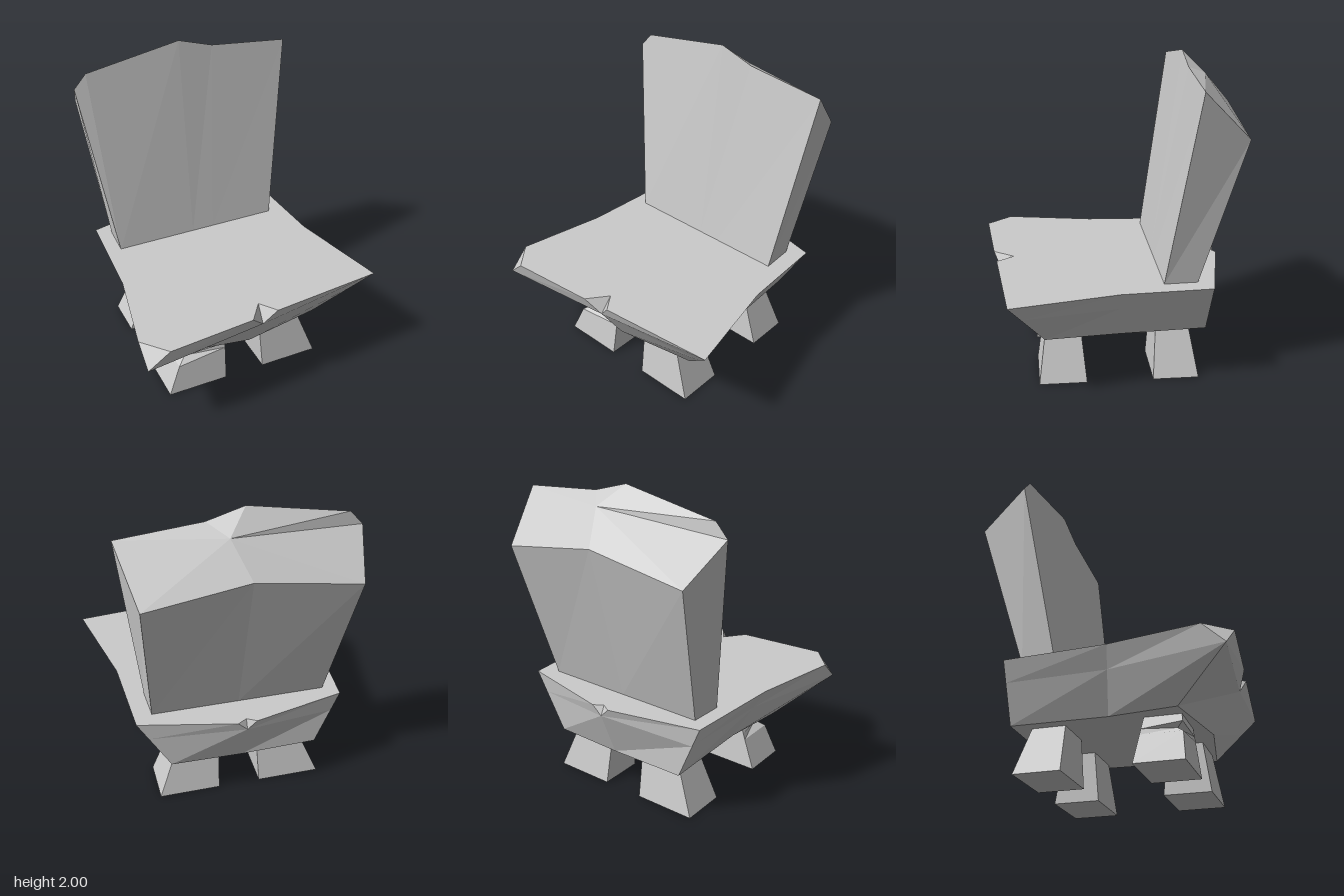
import * as THREE from 'three';

const material = new THREE.MeshStandardMaterial({ color: 0xcccccc, flatShading: true });

// Skins rings of [x, y, z] points (bottom to top, counterclockwise from above);
// each end is closed by a fan around its centre point.
function loft(name, rings, bottomCentre, topCentre) {
  const out = [];
  const tri = (...pts) => {
    const [a, b, c] = pts.map((p) => new THREE.Vector3(...p));
    if (new THREE.Triangle(a, b, c).getArea() > 1e-6) pts.forEach((p) => out.push(...p));
  };
  const n = rings[0].length;
  for (let i = 0; i < n; i++) {
    const j = (i + 1) % n;
    for (let k = 0; k + 1 < rings.length; k++) {
      const lo = rings[k], up = rings[k + 1];
      tri(lo[i], lo[j], up[j]);
      tri(lo[i], up[j], up[i]);
    }
    const top = rings[rings.length - 1];
    tri(topCentre, top[i], top[j]);
    tri(bottomCentre, rings[0][j], rings[0][i]);
  }
  const geometry = new THREE.BufferGeometry();
  geometry.setAttribute('position', new THREE.Float32BufferAttribute(out, 3));
  geometry.computeVertexNormals();
  const mesh = new THREE.Mesh(geometry, material);
  mesh.name = name;
  return mesh;
}

// Slab with sloping sides, a chipped corner and a nick in the front and back edges
function makeSeat() {
  const yTop = 0.67, yBottom = 0.31, t = 0.35;
  const corner = [-0.805, 0.545, 0.755];
  const frontNick = [-0.015, 0.57, 0.68];
  const backNick = [-0.02, 0.61, -0.73];
  // top x, z; bottom x, z; optional chip point between them
  const stations = [
    [-0.81, 0.62, -0.55, 0.42, corner],
    [-0.67, 0.78, -0.55, 0.42, corner],
    [-0.11, 0.73, -0.02, 0.51, frontNick],
    [-0.01, 0.60, -0.02, 0.51, frontNick],
    [0.07, 0.71, -0.02, 0.51, frontNick],
    [0.81, 0.64, 0.50, 0.42],
    [0.67, -0.03, 0.46, -0.04],
    [0.64, -0.60, 0.43, -0.60],
    [0.04, -0.735, -0.02, -0.61, backNick],
    [-0.02, -0.70, -0.02, -0.61, backNick],
    [-0.08, -0.735, -0.02, -0.61, backNick],
    [-0.66, -0.60, -0.51, -0.60],
    [-0.70, 0.05, -0.50, 0.00],
  ];
  const lerp = THREE.MathUtils.lerp;
  const bottom = stations.map((s) => [s[2], yBottom, s[3]]);
  const middle = stations.map((s) => s[4] ||
    [lerp(s[0], s[2], t), lerp(yTop, yBottom, t), lerp(s[1], s[3], t)]);
  const top = stations.map((s) => [s[0], yTop, s[1]]);
  return loft('seat', [bottom, middle, top], [0, yBottom, 0], [0, yTop, 0]);
}

// Backward-leaning slab that widens upwards to a broken, sloping top
function makeBackrest() {
  const y = 0.67;
  const bottom = [
    [-0.58, y, -0.31], [-0.575, y, -0.31], [-0.05, y, -0.31], [0.1, y, -0.31],
    [0.54, y, -0.31], [0.53, y, -0.52], [-0.02, y, -0.52], [-0.57, y, -0.52],
  ];
  const top = [
    [-0.75, 1.80, -0.49], [-0.67, 1.89, -0.49], [-0.05, 2.00, -0.49], [0.18, 1.93, -0.49],
    [0.70, 1.88, -0.49], [0.61, 1.58, -0.785], [-0.02, 1.68, -0.785], [-0.67, 1.58, -0.785],
  ];
  return loft('backrest', [bottom, top], [0, y, -0.42], [0.07, 1.875, -0.615]);
}

// Tapered block; foot and head are [x0, x1, z0, z1]
function makeLeg(name, foot, head, chipped) {
  const height = 0.31;
  const ring = (y, inset = 0) => {
    const [x0, x1, z0, z1] = foot.map((v, i) => THREE.MathUtils.lerp(v, head[i], y / height));
    return [[x0 + inset, y, z1 - inset], [x1, y, z1], [x1, y, z0], [x0, y, z0]];
  };
  const rings = chipped
    ? [ring(0), ring(0.19), ring(0.23, 0.04), ring(0.26), ring(height)]
    : [ring(0), ring(height)];
  const centre = (b, y) => [(b[0] + b[1]) / 2, y, (b[2] + b[3]) / 2];
  return loft(name, rings, centre(foot, 0), centre(head, height));
}

export function createModel() {
  const model = new THREE.Group();
  model.name = 'chair';
  model.add(makeSeat(), makeBackrest());

  // Four legs from two widths and two depths
  const sides = { Right: [[-0.56, -0.16], [-0.43, -0.15]], Left: [[0.11, 0.50], [0.10, 0.385]] };
  const rows = { front: [[0.16, 0.46], [0.19, 0.415]], back: [[-0.55, -0.26], [-0.495, -0.285]] };
  for (const [row, z] of Object.entries(rows)) {
    for (const [side, x] of Object.entries(sides)) {
      const chipped = row === 'front' && side === 'Right';
      model.add(makeLeg(`${row}${side}Leg`, [...x[0], ...z[0]], [...x[1], ...z[1]], chipped));
    }
  }
  return model;
}
